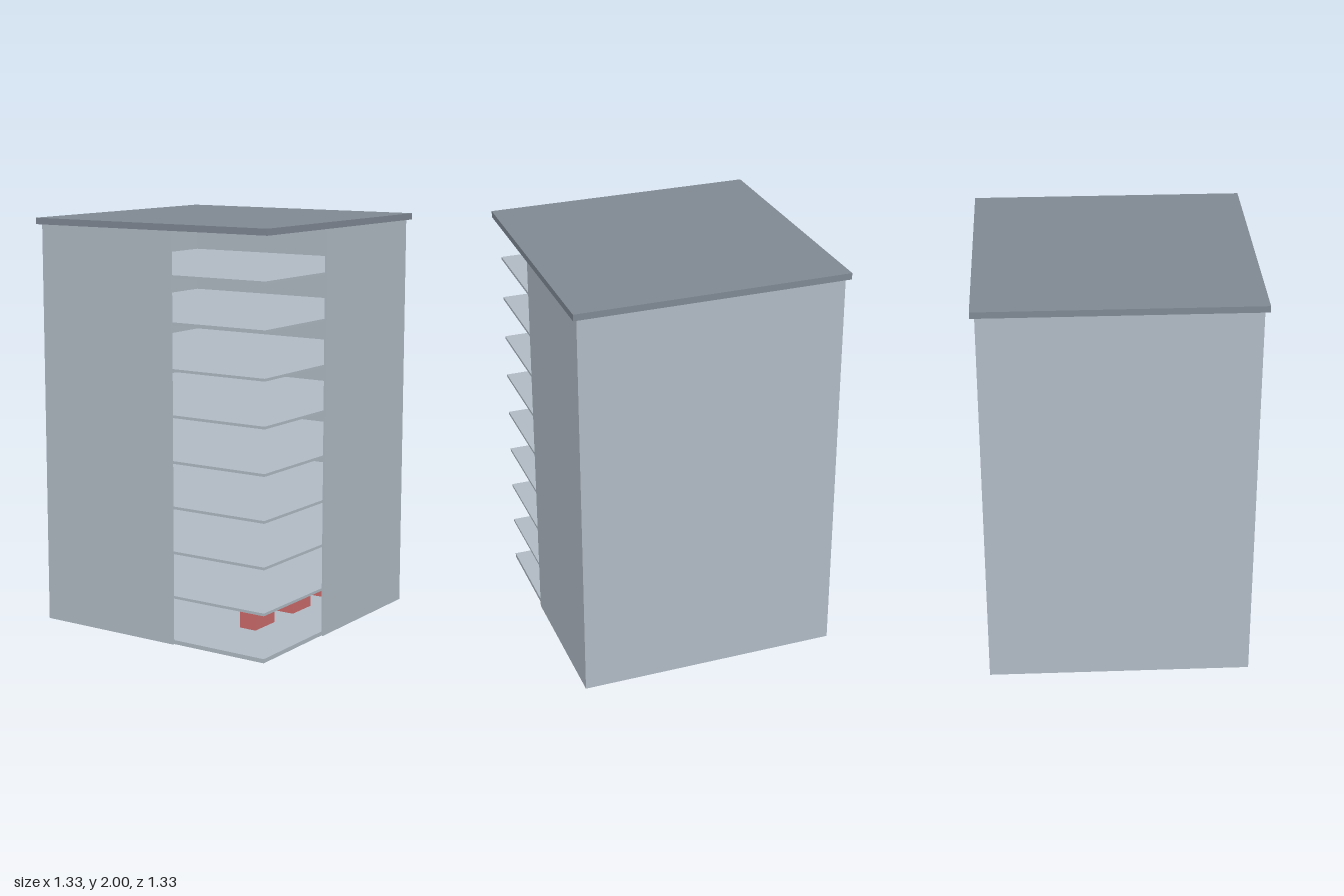
import * as THREE from 'three';

const material = (name, color) => {
  const m = new THREE.MeshStandardMaterial({ color });
  m.name = name;
  return m;
};

export function createModel() {
  const model = new THREE.Group();
  model.name = 'openCornerTower';
  const wall = material('pale blue grey', 0xb0bac4);
  const roofGrey = material('slate grey', 0x7f8893);
  const red = material('soft red', 0xcc6b6b);

  // Box given by its minimum and maximum on each axis
  const box = (name, mat, [x0, x1], [y0, y1], [z0, z1], parent = model) => {
    const mesh = new THREE.Mesh(new THREE.BoxGeometry(x1 - x0, y1 - y0, z1 - z0), mat);
    mesh.position.set((x0 + x1) / 2, (y0 + y1) / 2, (z0 + z1) / 2);
    mesh.name = name;
    parent.add(mesh);
    return mesh;
  };

  const outer = 0.643, inner = 0.633, opening = 0.123;
  const rise = [0, 1.969];

  // Thin outer walls, leaving the front left corner open
  box('backWall', wall, [-outer, outer], rise, [-outer, -inner]);
  box('rightWall', wall, [-outer, -inner], rise, [-inner, inner]);
  box('frontWall', wall, [-outer, opening], rise, [inner, outer]);
  box('leftWall', wall, [inner, outer], rise, [-inner, opening]);

  // Ground slab and the storeys above it
  const floors = new THREE.Group();
  floors.name = 'floors';
  model.add(floors);
  const span = [-inner, inner];
  box('groundFloor', wall, span, [0, 0.02], span, floors);
  for (let i = 1; i <= 8; i++) {
    const top = 0.02 + i * 0.218;
    box('floorSlab', wall, span, [top - 0.013, top], span, floors);
  }

  // Overhanging flat roof
  box('roof', roofGrey, [-0.664, 0.664], [1.969, 2], [-0.664, 0.664]);

  // Two rows of red blocks standing on the ground floor
  const blocks = new THREE.Group();
  blocks.name = 'groundFloorBlocks';
  model.add(blocks);
  for (const x of [0.315, -0.475]) {
    for (const z of [0.205, -0.135, -0.475]) {
      box('block', red, [x - 0.046, x + 0.046], [0.001, 0.187], [z - 0.085, z + 0.085], blocks);
    }
  }
  return model;
}
